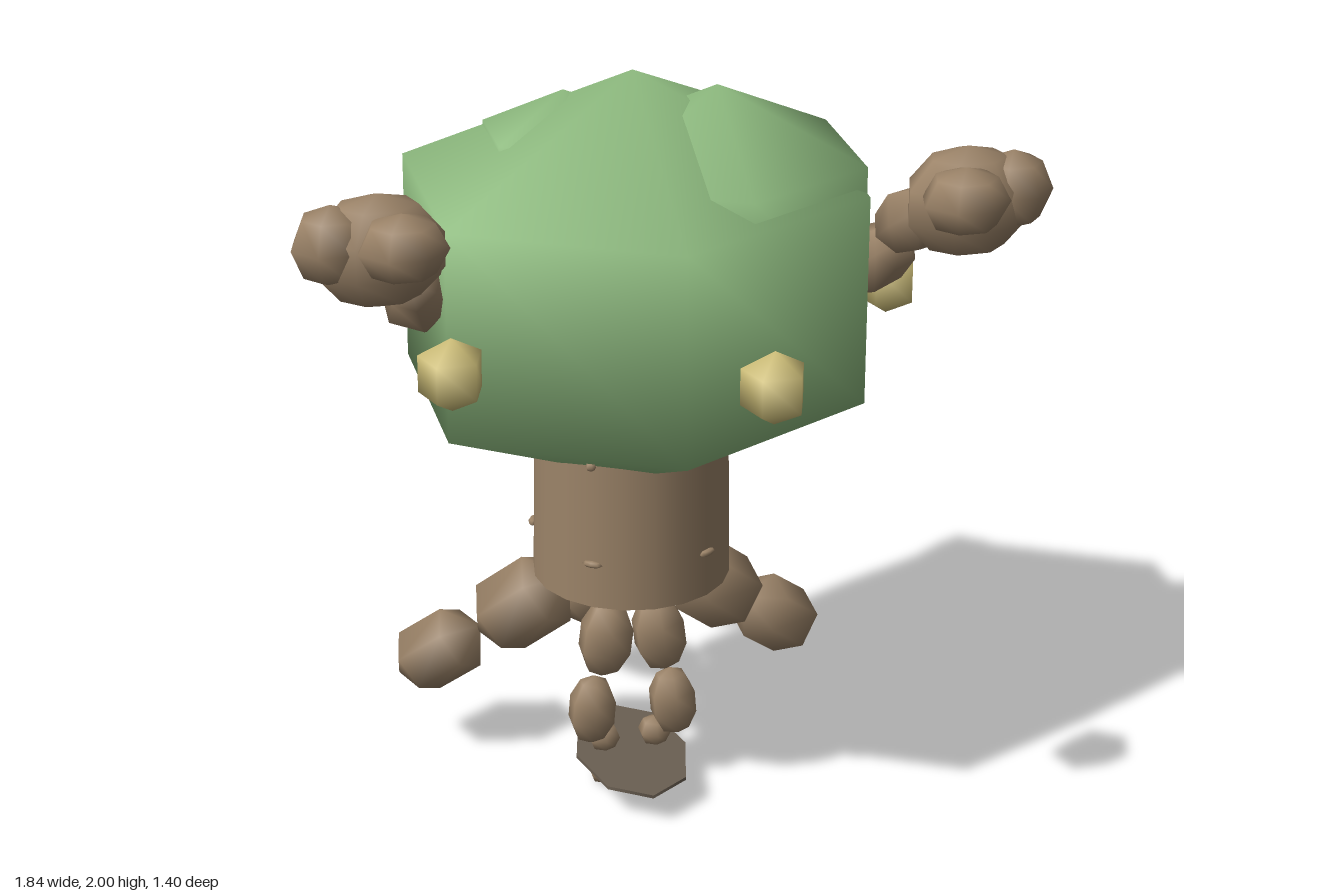
import * as THREE from 'three';

const leaf = new THREE.MeshStandardMaterial({ color: 0x8fbc80 });
leaf.name = 'leafGreen';
const bark = new THREE.MeshStandardMaterial({ color: 0x9b8368 });
bark.name = 'barkBrown';
const fruitMat = new THREE.MeshStandardMaterial({ color: 0xd3c37c });
fruitMat.name = 'fruitYellow';
const plateMat = new THREE.MeshStandardMaterial({ color: 0x6a5f52, side: THREE.DoubleSide });
plateMat.name = 'darkBark';

const UP = new THREE.Vector3(0, 1, 0);

// Coarse smooth-shaded ellipsoid; its long axis (local y) may be pointed along a direction
function blob(name, mat, pos, radii, axis = [0, 1, 0], w = 6, h = 3) {
  const geo = new THREE.SphereGeometry(1, w, h).rotateY(-Math.PI / 2);
  const mesh = new THREE.Mesh(geo, mat);
  mesh.name = name;
  mesh.scale.set(...radii);
  mesh.position.set(...pos);
  mesh.quaternion.setFromUnitVectors(UP, new THREE.Vector3(...axis).normalize());
  return mesh;
}

export function createModel() {
  const model = new THREE.Group();
  model.name = 'treeCreature';

  // Leafy crown with two overlapping clumps
  model.add(
    blob('crown', leaf, [0.003, 1.45, 0], [0.707, 0.55, 0.668]),
    blob('crownClumpLeft', leaf, [0.2, 1.61, 0.07], [0.447, 0.36, 0.427]),
    blob('crownClumpRight', leaf, [-0.155, 1.735, -0.08], [0.245, 0.2, 0.242])
  );

  // Fruits hanging in a ring around the crown
  for (let i = 0; i < 5; i++) {
    const a = (i * 2 * Math.PI) / 5 + 0.02;
    model.add(blob('fruit', fruitMat,
      [0.01 + 0.66 * Math.cos(a), 1.395, 0.66 * Math.sin(a)], [0.095, 0.095, 0.095], UP.toArray(), 5, 3));
  }

  // Trunk
  const trunk = new THREE.Mesh(new THREE.CylinderGeometry(0.25, 0.257, 0.44, 20), bark);
  trunk.name = 'trunk';
  trunk.position.y = 0.86;
  model.add(trunk);

  // Small bark ridges around the trunk
  for (let i = 0; i < 5; i++) {
    const a = -Math.PI / 2 + (i * 2 * Math.PI) / 5;
    const ridge = blob('barkRidge', bark,
      [0.257 * Math.cos(a), 0.762, 0.257 * Math.sin(a)], [0.028, 0.009, 0.012], [0, 1, 0], 8, 4);
    ridge.rotation.y = Math.PI / 2 - a;
    model.add(ridge);
  }

  // Three two-part roots, to the back and both sides
  for (let i = 0; i < 3; i++) {
    const a = -Math.PI / 2 + (i * 2 * Math.PI) / 3;
    const root = new THREE.Group();
    root.name = 'root';
    // the spread leaves the front open for the legs
    root.rotation.y = [0, 1, -1][i] * Math.PI / 3;
    root.add(
      blob('rootUpper', bark, [0, 0.487, -0.30], [0.125, 0.165, 0.125], [0, -0.62, -0.78]),
      blob('rootLower', bark, [0, 0.312, -0.54], [0.11, 0.148, 0.11], [0, -0.6, -0.8])
    );
    model.add(root);
  }

  // Mirrored legs, arms and buds
  for (const s of [1, -1]) {
    const side = s > 0 ? 'left' : 'right';

    const leg = new THREE.Group();
    leg.name = side + 'Leg';
    leg.add(
      blob('thigh', bark, [s * 0.072, 0.445, 0.015], [0.077, 0.113, 0.066], [s * 0.12, -1, 0], 6, 5),
      blob('shin', bark, [s * 0.11, 0.235, 0.015], [0.068, 0.1, 0.06], [s * 0.08, -1, 0], 6, 5),
      blob('ankle', bark, [s * 0.07, 0.128, -0.025], [0.046, 0.043, 0.043], UP.toArray(), 6, 4),
      blob('foot', bark, [s * 0.08, 0.044, 0.005], [0.04, 0.041, 0.038], UP.toArray(), 6, 4)
    );
    model.add(leg);

    const arm = new THREE.Group();
    arm.name = side + 'Arm';
    arm.add(
      blob('upperArm', bark, [s * 0.58, 1.52, 0.175], [0.09, 0.165, 0.09], [s * 0.04, 0.1, 0.14], 6, 4),
      blob('forearm', bark, [s * 0.635, 1.685, 0.35], [0.1, 0.13, 0.085], [s * 0.06, 0.1, 0.12], 6, 4),
      blob('hand', bark, [s * 0.715, 1.77, 0.48], [0.165, 0.14, 0.12], UP.toArray(), 7, 5),
      blob('innerFinger', bark, [s * 0.675, 1.81, 0.585], [0.11, 0.085, 0.1], UP.toArray(), 7, 4),
      blob('outerFinger', bark, [s * 0.825, 1.795, 0.49], [0.1, 0.1, 0.09], UP.toArray(), 7, 4)
    );
    model.add(arm);

    model.add(blob('bud', bark, [s * 0.165, 1.06, 0.26], [0.014, 0.012, 0.014], UP.toArray(), 6, 4));
  }

  // Thin plate between the ankles and feet
  const plate = new THREE.Mesh(new THREE.CylinderGeometry(1, 1, 0.009, 8), plateMat);
  plate.name = 'footPlate';
  plate.scale.set(0.15, 1, 0.255);
  plate.position.y = 0.087;
  model.add(plate);

  return model;
}
